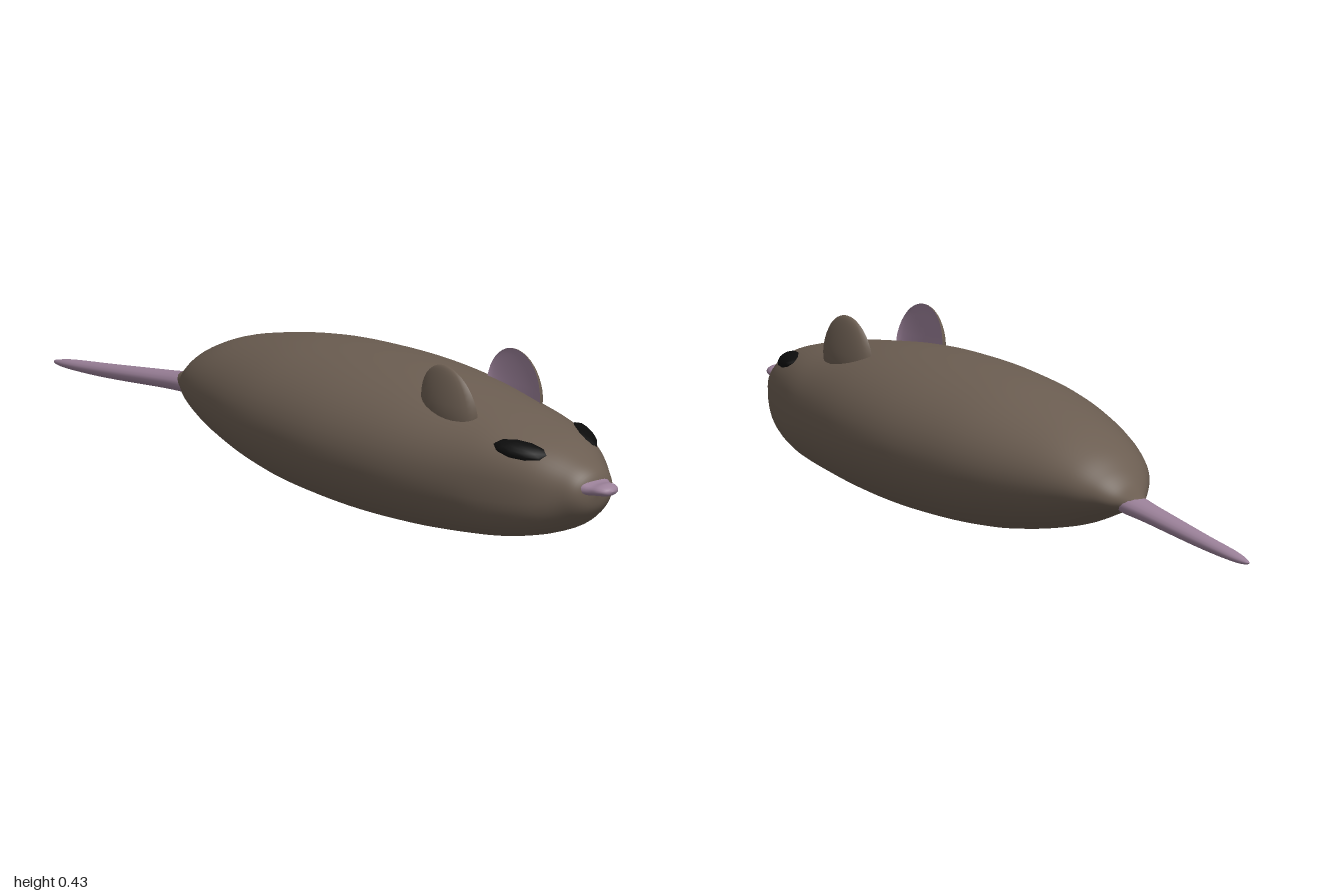
import * as THREE from 'three';
import { mergeVertices } from 'three/addons/utils/BufferGeometryUtils.js';

const mat = (color) => new THREE.MeshStandardMaterial({ color });
const fur = mat(0x6b5d51), pink = mat(0x9b8199), black = mat(0x0c0c0c);

// Smooth skin through cross-sections [z, half width, top, bottom, squareness], back to front
function loft(sections, around, along) {
  const curve = (f) => new THREE.CatmullRomCurve3(
    sections.map(f), false, 'catmullrom', 0.5);
  const upper = curve((s) => new THREE.Vector3(s[1], s[2], s[0]));
  const lower = curve((s) => new THREE.Vector3(s[4] ?? 2, s[3], s[0]));
  const geo = new THREE.PlaneGeometry(1, 1, around, along);
  const pos = geo.attributes.position, uv = geo.attributes.uv;
  const p = new THREE.Vector3(), q = new THREE.Vector3();
  const power = (c, n) => Math.sign(c) * Math.abs(c) ** (2 / n);
  for (let i = 0; i < pos.count; i++) {
    const a = (uv.getX(i) % 1) * Math.PI * 2;
    upper.getPoint(uv.getY(i), p);
    lower.getPoint(uv.getY(i), q);
    const mid = (p.y + q.y) / 2, half = (p.y - q.y) / 2;
    pos.setXYZ(i, p.x * power(Math.cos(a), q.x), mid + half * power(Math.sin(a), q.x), p.z);
  }
  geo.deleteAttribute('uv');
  geo.deleteAttribute('normal');
  const merged = mergeVertices(geo, 1e-5);
  merged.computeVertexNormals();
  return merged;
}

// One half of a cupped ear; outer bulges away from the head, inner is the hollow
function earHalf(outer) {
  const geo = new THREE.SphereGeometry(1, 12, 20, outer ? Math.PI / 2 : -Math.PI / 2, Math.PI);
  const pos = geo.attributes.position;
  for (let i = 0; i < pos.count; i++) {
    const x = Math.abs(pos.getX(i)), y = pos.getY(i), z = pos.getZ(i);
    const up = Math.max(y, 0);
    const depth = (outer ? 0.042 : 0.016) * (1 - 0.45 * up);
    pos.setXYZ(i, 0.098 + 0.012 * up + depth * x, 0.335 + 0.102 * y,
      0.53 + 0.095 * z - 0.008 * up);
  }
  geo.computeVertexNormals();
  return geo;
}

export function createModel() {
  const model = new THREE.Group();
  const add = (name, geo, material, parent = model) => {
    const mesh = new THREE.Mesh(geo, material);
    mesh.name = name;
    parent.add(mesh);
    return mesh;
  };

  // Body, drawn out to a short cone over the tail root
  add('body', loft([
    [-0.56, 0, 0.165, 0.165],
    [-0.54, 0.022, 0.178, 0.146],
    [-0.5, 0.045, 0.196, 0.138],
    [-0.46, 0.08, 0.232, 0.13],
    [-0.4, 0.122, 0.275, 0.107],
    [-0.3, 0.165, 0.317, 0.07],
    [-0.15, 0.211, 0.352, 0.035],
    [0, 0.238, 0.373, 0.013],
    [0.2, 0.252, 0.382, 0.003],
    [0.4, 0.238, 0.375, 0.007, 2.05],
    [0.6, 0.2, 0.347, 0.026, 2.2],
    [0.72, 0.168, 0.324, 0.047, 2.5],
    [0.82, 0.13, 0.298, 0.074, 2.5],
    [0.89, 0.088, 0.267, 0.11, 2.2],
    [0.93, 0.055, 0.238, 0.148],
    [0.945, 0, 0.2, 0.195],
  ], 48, 90), fur);

  // Tail
  add('tail', loft([
    [-1, 0, 0.108, 0.108],
    [-0.985, 0.008, 0.114, 0.102],
    [-0.93, 0.018, 0.125, 0.101],
    [-0.8, 0.023, 0.142, 0.108],
    [-0.6, 0.031, 0.169, 0.127],
    [-0.48, 0.036, 0.184, 0.138],
    [-0.46, 0, 0.16, 0.16],
  ], 16, 36), pink);

  // Flattened nose
  add('nose', loft([
    [0.87, 0, 0.205, 0.205],
    [0.89, 0.052, 0.228, 0.184, 2.6],
    [0.92, 0.05, 0.227, 0.186, 2.6],
    [0.95, 0.037, 0.22, 0.19, 2.4],
    [0.975, 0.032, 0.222, 0.192],
    [0.993, 0.02, 0.216, 0.197],
    [1, 0, 0.207, 0.207],
  ], 20, 30), pink);

  // Ears and eyes, mirrored
  for (const [side, sign] of [['left', 1], ['right', -1]]) {
    const ear = new THREE.Group();
    ear.name = side + 'Ear';
    add('earShell', earHalf(true), fur, ear);
    add('earInner', earHalf(false), pink, ear);
    ear.scale.x = sign;
    model.add(ear);

    const along = new THREE.Vector3(sign * 0.44, 0.13, -0.89).normalize();
    const out = new THREE.Vector3(sign * 0.42, 0.88, 0.2);
    out.addScaledVector(along, -out.dot(along)).normalize();
    const across = new THREE.Vector3().crossVectors(along, out);
    const eye = add(side + 'Eye', new THREE.SphereGeometry(1, 10, 8), black);
    eye.applyMatrix4(new THREE.Matrix4().makeBasis(along, out, across)
      .scale(new THREE.Vector3(0.07, 0.017, 0.029))
      .setPosition(sign * 0.1, 0.281, 0.782));
  }
  return model;
}
